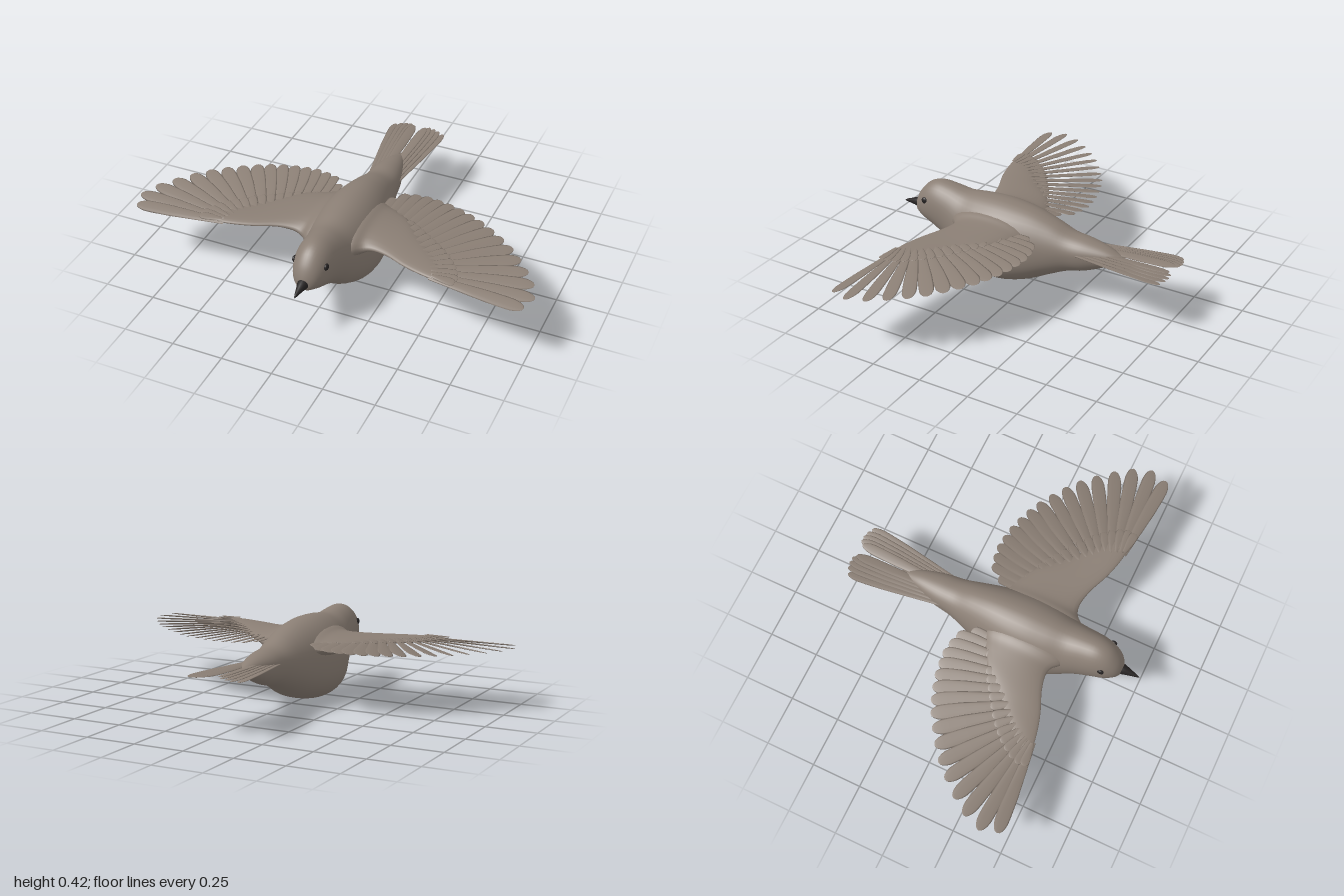
import * as THREE from 'three';

const mat = (name, color) => {
  const m = new THREE.MeshStandardMaterial({ color });
  m.name = name;
  return m;
};

// Skin a list of equal-sized rings of Vector3 into a smooth surface facing outwards.
function loft(rings) {
  const n = rings[0].length, pts = rings.flat(), index = [];
  for (let i = 0; i < rings.length - 1; i++) {
    for (let j = 0; j < n; j++) {
      const a = i * n + j, b = i * n + (j + 1) % n;
      index.push(a, b, a + n, b, b + n, a + n);
    }
  }
  // Signed volume about the middle tells whether the winding must be flipped.
  const mid = pts.reduce((s, p) => s.add(p), new THREE.Vector3()).divideScalar(pts.length);
  let volume = 0;
  const local = pts.map(p => p.clone().sub(mid));
  for (let k = 0; k < index.length; k += 3) {
    const [a, b, c] = [local[index[k]], local[index[k + 1]], local[index[k + 2]]];
    volume += a.dot(b.clone().cross(c));
  }
  if (volume < 0) index.reverse();
  const geo = new THREE.BufferGeometry().setFromPoints(pts);
  geo.setIndex(index);
  geo.computeVertexNormals();
  return geo;
}

// Catmull-Rom interpolation of every column in a table of sections.
function smoothRows(rows, steps) {
  const out = [], last = rows.length - 1;
  for (let i = 0; i <= last * steps; i++) {
    const k = Math.min(Math.floor(i / steps), last - 1), t = i / steps - k;
    const [a, b, c, d] = [-1, 0, 1, 2].map(o => rows[THREE.MathUtils.clamp(k + o, 0, last)]);
    out.push(b.map((v, q) => v + 0.5 * t * (c[q] - a[q] + t * (2 * a[q] - 5 * v + 4 * c[q] - d[q]
      + t * (3 * (v - c[q]) + d[q] - a[q])))));
  }
  return out;
}

const ring = (n, fn) => Array.from({ length: n }, (_, j) => {
  const t = j / n * Math.PI * 2;
  return fn(Math.cos(t), Math.sin(t));
});

// A flat, round-tipped feather from root to tip, rolled about its own shaft.
function featherGeometry(root, tip, halfWidth, roll = 0, thick = 0.005) {
  const dir = tip.clone().sub(root).normalize();
  const side = new THREE.Vector3().crossVectors(dir, new THREE.Vector3(0, 1, 0)).normalize().applyAxisAngle(dir, roll);
  const up = new THREE.Vector3().crossVectors(side, dir);
  return loft([0, 0.15, 0.35, 0.6, 0.8, 0.88, 0.93, 0.97, 0.99, 1].map(t => {
    const round = t > 0.84 ? Math.sqrt(Math.max(0, 1 - ((t - 0.84) / 0.16) ** 2)) : 1;
    const w = halfWidth * (0.45 + 0.55 * Math.min(1, t / 0.65)) * round + 0.0003;
    const h = thick * (1 - 0.5 * t) * round + 0.0002;
    const p = root.clone().lerp(tip, t);
    return ring(10, (c, s) => p.clone().addScaledVector(side, c * w).addScaledVector(up, s * h));
  }));
}

export function createModel() {
  const plumage = mat('plumage', 0x8a7e74);
  const dark = mat('beak and eye', 0x262323);
  const V = (x, y, z) => new THREE.Vector3(x, y, z);
  const bird = new THREE.Group();
  bird.name = 'bird';
  const add = (parent, name, geo, material) => {
    const mesh = new THREE.Mesh(geo, material);
    mesh.name = name;
    parent.add(mesh);
    return mesh;
  };

  // Head and body: z, top, bottom, half width, height of the widest point
  const body = smoothRows([
    [0.672, 0.262, 0.258, 0.002, 0.26],
    [0.66, 0.305, 0.228, 0.035, 0.262],
    [0.635, 0.352, 0.215, 0.062, 0.275],
    [0.59, 0.398, 0.195, 0.084, 0.28],
    [0.53, 0.418, 0.168, 0.098, 0.28],
    [0.45, 0.412, 0.12, 0.112, 0.25],
    [0.37, 0.401, 0.058, 0.135, 0.2],
    [0.28, 0.409, 0.016, 0.166, 0.165],
    [0.18, 0.414, 0.003, 0.179, 0.155],
    [0.08, 0.408, 0.012, 0.172, 0.16],
    [-0.02, 0.392, 0.042, 0.148, 0.18],
    [-0.12, 0.362, 0.09, 0.118, 0.21],
    [-0.21, 0.328, 0.13, 0.093, 0.235],
    [-0.3, 0.317, 0.155, 0.08, 0.245],
    [-0.4, 0.297, 0.198, 0.052, 0.255],
    [-0.47, 0.272, 0.234, 0.025, 0.255],
    [-0.51, 0.258, 0.252, 0.003, 0.255],
  ], 4);
  add(bird, 'body', loft(body.map(([z, top, bottom, w, y]) => ring(40, (c, s) => {
    const cx = s < 0 ? Math.sign(c) * Math.abs(c) ** 0.85 : c;
    return V(cx * w, y + (s > 0 ? s * (top - y) : -(Math.abs(s) ** 0.9) * (y - bottom)), z);
  }))), plumage);

  // Beak: z, centre height, half width, half height
  const beak = smoothRows([
    [0.65, 0.26, 0.03, 0.03], [0.675, 0.261, 0.024, 0.023],
    [0.71, 0.256, 0.014, 0.014], [0.74, 0.251, 0.006, 0.007], [0.755, 0.248, 0.0005, 0.0005],
  ], 3);
  add(bird, 'beak', loft(beak.map(([z, y, w, h]) => ring(16, (c, s) => V(c * w, y + s * h, z)))), dark);

  // Wing arm: x, leading z, trailing z, centre height, half thickness
  const arm = smoothRows([
    [0.06, 0.42, -0.04, 0.275, 0.09],
    [0.11, 0.40, -0.02, 0.28, 0.08],
    [0.15, 0.362, 0.0, 0.285, 0.06],
    [0.2, 0.352, 0.03, 0.297, 0.04],
    [0.28, 0.37, 0.085, 0.305, 0.025],
    [0.38, 0.41, 0.19, 0.305, 0.019],
    [0.48, 0.437, 0.28, 0.305, 0.016],
    [0.57, 0.448, 0.36, 0.304, 0.012],
    [0.62, 0.445, 0.425, 0.303, 0.004],
  ], 4);

  // Flight feather tips (x, z) from the leading edge inwards, and the line their roots follow
  const tips = [[0.975, 0.468], [1.0, 0.385], [0.968, 0.295], [0.915, 0.218], [0.855, 0.145], [0.795, 0.082],
    [0.73, 0.03], [0.665, -0.015], [0.6, -0.055], [0.54, -0.083], [0.48, -0.105], [0.42, -0.122],
    [0.36, -0.132], [0.305, -0.137], [0.25, -0.13], [0.2, -0.115], [0.155, -0.06]];
  const rootLine = new THREE.SplineCurve([[0.52, 0.435], [0.49, 0.38], [0.43, 0.32], [0.34, 0.25], [0.25, 0.17],
    [0.15, 0.1]].map(p => new THREE.Vector2(...p)));

  for (const s of [1, -1]) {
    const wing = new THREE.Group();
    wing.name = s > 0 ? 'leftWing' : 'rightWing';
    bird.add(wing);
    add(wing, 'wingArm', loft(arm.map(([x, front, back, y, h]) => ring(24, (c, q) =>
      V(s * x, y + q * h, (front + back) / 2 + c * (front - back) / 2)))), plumage);
    tips.forEach(([x, z], i) => {
      const u = i / (tips.length - 1);
      const r = rootLine.getPoint(u);
      const tip = V(s * x, 0.298 + 0.008 * u, z), root = V(s * r.x, 0.303 + 0.006 * u, r.y);
      add(wing, 'flightFeather', featherGeometry(root, tip, 0.036 - 0.004 * Math.abs(u - 0.5), s * 0.24), plumage);
      // Short coverts lying over the feather roots
      if (i % 2 === 0 || i < 12) {
        const a = root.clone().lerp(tip, 0.02), b = root.clone().lerp(tip, 0.27 + 0.06 * u);
        a.y = 0.316;
        b.y = 0.314;
        add(wing, 'covertFeather', featherGeometry(a, b, 0.022, s * 0.2, 0.004), plumage);
      }
    });

    // Tail half: feathers fanning outwards, the inner ones on top
    const tail = new THREE.Group();
    tail.name = s > 0 ? 'leftTail' : 'rightTail';
    bird.add(tail);
    [[0.032, -0.74], [0.05, -0.755], [0.075, -0.757], [0.1, -0.752], [0.13, -0.738]].forEach(([x, z], i) =>
      add(tail, 'tailFeather', featherGeometry(V(s * (0.018 + 0.013 * i), 0.264 - 0.003 * i, -0.25),
        V(s * x, 0.28 - 0.004 * i, z), 0.026, -s * 0.15), plumage));

    // Eye
    const eye = add(bird, s > 0 ? 'leftEye' : 'rightEye', new THREE.SphereGeometry(0.017, 20, 14), dark);
    eye.scale.x = 0.6;
    eye.position.set(s * 0.079, 0.325, 0.58);
  }
  return bird;
}
